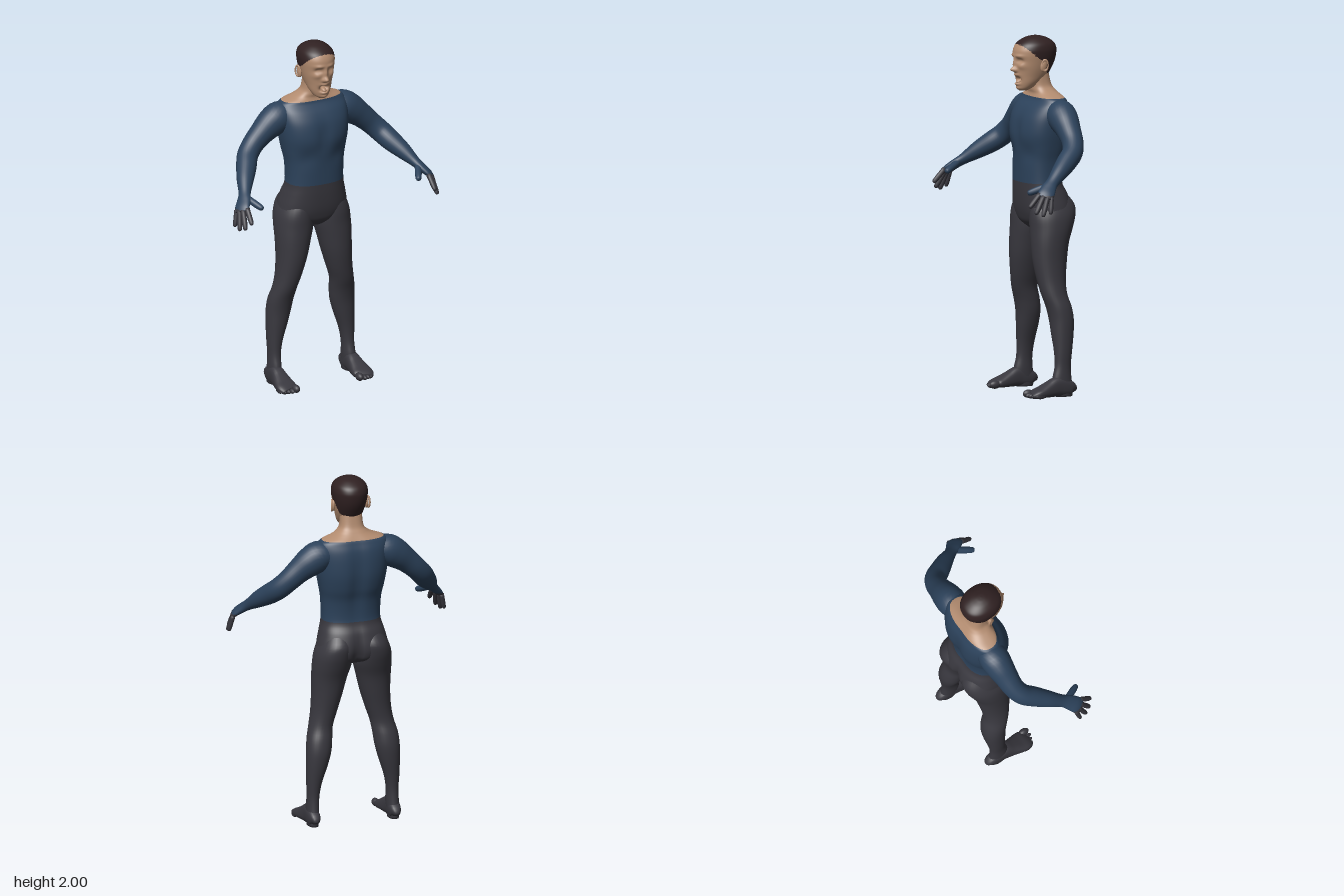
import * as THREE from 'three';

const flat = (name, color) => Object.assign(new THREE.MeshStandardMaterial({ color }), { name });
const gauss = (d, s) => Math.exp(-(d * d) / (s * s));
const power = (v, e) => Math.sign(v) * Math.abs(v) ** e;

// Catmull-Rom through rows of numbers, n steps between neighbours
function smooth(rows, n) {
  const out = [], last = rows.length - 1;
  const at = (i) => rows[Math.min(last, Math.max(0, i))];
  for (let s = 0; s <= last * n; s++) {
    const i = Math.min(Math.floor(s / n), last - 1), t = s / n - i;
    const [a, b, c, d] = [at(i - 1), at(i), at(i + 1), at(i + 2)];
    out.push(b.map((p, k) => {
      const cubic = 3 * (p - c[k]) + d[k] - a[k];
      const square = 2 * a[k] - 5 * p + 4 * c[k] - d[k];
      return p + 0.5 * t * (c[k] - a[k] + t * (square + t * cubic));
    }));
  }
  return out;
}

// Closed skin over rings of points, capped at both ends
function skinOver(rings) {
  const m = rings[0].length, pos = [], idx = [];
  rings.forEach((r) => r.forEach((p) => pos.push(p.x, p.y, p.z)));
  for (let j = 0; j < rings.length - 1; j++) {
    for (let i = 0; i < m; i++) {
      const a = j * m + i, b = j * m + (i + 1) % m;
      idx.push(a, a + m, b, b, a + m, b + m);
    }
  }
  [0, rings.length - 1].forEach((j) => {
    const c = rings[j].reduce((s, p) => s.add(p), new THREE.Vector3()).divideScalar(m);
    const hub = pos.length / 3;
    pos.push(c.x, c.y, c.z);
    for (let i = 0; i < m; i++) {
      const a = j * m + i, b = j * m + (i + 1) % m;
      if (j) idx.push(hub, b, a); else idx.push(hub, a, b);
    }
  });
  const g = new THREE.BufferGeometry();
  g.setAttribute('position', new THREE.Float32BufferAttribute(pos, 3));
  g.setIndex(idx);
  g.computeVertexNormals();
  return g;
}

// Upright body from rows [y, centreX, halfWidth, frontZ, backZ]; sculpt may shift each point
function upright(rows, { n = 4, sides = 40, e = 0.9, sculpt = () => {} } = {}) {
  return skinOver(smooth(rows, n).map(([y, cx, rx, zf, zb]) => Array.from({ length: sides }, (_, i) => {
    const t = i / sides * Math.PI * 2, s = Math.sin(t);
    const p = new THREE.Vector3(cx + rx * power(Math.cos(t), e), y, (zf + zb) / 2 + (zf - zb) / 2 * power(s, e));
    sculpt(p, s);
    return p;
  })));
}

// Limb along a path from rows [x, y, z, wideRadius, thinRadius]; wide is the broad direction
function limb(rows, wide, n = 4, sides = 20, e = 1) {
  const r = smooth(rows, n), c = r.map((p) => new THREE.Vector3(p[0], p[1], p[2]));
  return skinOver(r.map((p, j) => {
    const dir = c[Math.min(j + 1, c.length - 1)].clone().sub(c[Math.max(j - 1, 0)]).normalize();
    const u = wide.clone().addScaledVector(dir, -wide.dot(dir)).normalize();
    const v = u.clone().cross(dir);
    return Array.from({ length: sides }, (_, i) => {
      const t = i / sides * Math.PI * 2;
      const point = c[j].clone().addScaledVector(u, p[3] * power(Math.cos(t), e));
      return point.addScaledVector(v, p[4] * power(Math.sin(t), e));
    });
  }));
}

// Sort triangles into material groups by the position of their centre
function paint(g, count, pick) {
  const p = g.attributes.position, id = g.index.array, bins = Array.from({ length: count }, () => []);
  for (let i = 0; i < id.length; i += 3) {
    const tri = [id[i], id[i + 1], id[i + 2]], c = new THREE.Vector3();
    tri.forEach((k) => c.add(new THREE.Vector3().fromBufferAttribute(p, k)));
    bins[pick(c.divideScalar(3))].push(...tri);
  }
  g.setIndex(bins.flat());
  let start = 0;
  bins.forEach((b, k) => { g.addGroup(start, b.length, k); start += b.length; });
  return g;
}

function mirrored(g) {
  const m = g.clone().scale(-1, 1, 1), id = m.index.array;
  for (let i = 0; i < id.length; i += 3) [id[i], id[i + 1]] = [id[i + 1], id[i]];
  return m;
}

export function createModel() {
  const model = new THREE.Group();
  const skin = flat('skin', 0xb38c70), hair = flat('hair', 0x302122);
  const shirt = flat('blue shirt', 0x2c425b), dark = flat('dark trousers', 0x39383f);
  const add = (name, g, mat) => {
    const mesh = new THREE.Mesh(g, mat);
    mesh.name = name;
    model.add(mesh);
  };
  const pair = (name, g, mat) => { add(name + 'Left', g, mat); add(name + 'Right', mirrored(g), mat); };
  const ball = (x, y, z, a, b, c, tilt = 0) =>
    new THREE.SphereGeometry(1, 18, 14).scale(a, b, c).rotateX(tilt).translate(x, y, z);

  // Torso and neck, with chest, spine and seat modelling
  const torso = upright([
    [0.925, 0, 0.04, -0.05, -0.16], [0.96, 0, 0.14, -0.015, -0.235], [1.0, 0, 0.2, 0.0, -0.26],
    [1.05, 0, 0.199, 0.01, -0.264], [1.12, 0, 0.182, 0.016, -0.245], [1.185, 0, 0.167, 0.018, -0.216],
    [1.3, 0, 0.17, 0.02, -0.222], [1.38, 0, 0.184, 0.027, -0.245], [1.46, 0, 0.198, 0.034, -0.258],
    [1.54, 0, 0.206, 0.02, -0.256], [1.6, 0, 0.207, -0.01, -0.246], [1.64, 0, 0.2, -0.045, -0.23],
    [1.66, 0, 0.178, -0.055, -0.22], [1.68, 0, 0.12, -0.06, -0.205], [1.7, 0, 0.085, -0.056, -0.19],
    [1.73, 0, 0.066, -0.054, -0.172], [1.8, 0, 0.062, -0.05, -0.155],
  ], {
    n: 5, sides: 64, e: 0.82,
    sculpt(p, s) {
      const seat = 0.03 * gauss(p.x, 0.025) * gauss(p.y - 1.0, 0.09), spine = 0.016 * gauss(p.x, 0.04) * gauss(p.y - 1.42, 0.2);
      const sternum = 0.012 * gauss(p.x, 0.035) * gauss(p.y - 1.47, 0.08);
      const ribs = 0.01 * gauss(p.y - 1.35, 0.05) * gauss(Math.abs(p.x) - 0.1, 0.06);
      p.z -= s * (s < 0 ? seat + spine : sternum + ribs);
    },
  });
  add('torso', paint(torso, 3, (c) => (c.y > 1.66 ? 2 : c.y < 1.186 ? 0 : 1)), [dark, shirt, skin]);

  // Legs
  pair('leg', upright([
    [0.0, 0.235, 0.03, -0.09, -0.192], [0.05, 0.235, 0.035, -0.08, -0.195], [0.1, 0.233, 0.035, -0.075, -0.188],
    [0.17, 0.231, 0.034, -0.09, -0.184], [0.25, 0.226, 0.043, -0.09, -0.193], [0.35, 0.211, 0.06, -0.082, -0.208],
    [0.43, 0.2, 0.07, -0.075, -0.213], [0.5, 0.192, 0.071, -0.06, -0.203], [0.57, 0.178, 0.067, -0.037, -0.184],
    [0.65, 0.158, 0.073, -0.02, -0.186], [0.75, 0.14, 0.085, -0.006, -0.2], [0.85, 0.128, 0.098, -0.002, -0.217],
    [0.93, 0.117, 0.108, -0.002, -0.246], [1.0, 0.111, 0.105, -0.001, -0.267], [1.06, 0.1, 0.092, -0.01, -0.268],
    [1.12, 0.09, 0.07, -0.04, -0.225],
  ], { sides: 32, e: 0.95 }), dark);

  // Feet: rows of [z, centreX, halfWidth, height]
  const foot = [
    [-0.2, 0.235, 0.012, 0.045], [-0.188, 0.235, 0.03, 0.075], [-0.15, 0.236, 0.036, 0.1], [-0.1, 0.237, 0.039, 0.112],
    [-0.05, 0.238, 0.047, 0.088], [0.0, 0.24, 0.057, 0.063], [0.035, 0.24, 0.059, 0.048], [0.06, 0.234, 0.048, 0.03],
  ].map(([z, x, w, h]) => [x, h / 2, z, w, h / 2]);
  pair('foot', limb(foot, new THREE.Vector3(1, 0, 0), 4, 28, 0.75), dark);
  [[0.2, 0.062, 0.02], [0.228, 0.06, 0.013], [0.25, 0.053, 0.0125], [0.27, 0.043, 0.012], [0.287, 0.029, 0.012]]
    .forEach(([x, z, r]) => pair('toe', ball(x, r * 1.15, z, r, r * 1.15, 0.033), dark));

  // Arms running into the palms
  const across = new THREE.Vector3(0.53, -0.27, -0.8);
  const arm = limb([
    [0.1, 1.585, -0.14, 0.06, 0.055], [0.19, 1.572, -0.142, 0.083, 0.086], [0.25, 1.54, -0.14, 0.08, 0.084],
    [0.31, 1.495, -0.135, 0.068, 0.07], [0.37, 1.44, -0.127, 0.06, 0.062], [0.418, 1.39, -0.1, 0.058, 0.061],
    [0.455, 1.345, -0.045, 0.056, 0.058], [0.497, 1.298, 0.02, 0.047, 0.047], [0.535, 1.25, 0.085, 0.035, 0.03],
    [0.56, 1.222, 0.122, 0.042, 0.024], [0.585, 1.195, 0.15, 0.046, 0.02], [0.598, 1.175, 0.168, 0.04, 0.014],
  ], across, 5, 28);
  pair('arm', paint(arm, 2, (c) => (c.y < 1.188 ? 1 : 0)), [shirt, dark]);

  // Fingers and thumbs
  const digit = (a, b, r) => limb([[0, 1], [0.35, 0.95], [0.65, 0.95], [0.9, 0.8], [0.98, 0.5], [1, 0.08]]
    .map(([t, s]) => [...a.map((v, k) => v + (b[k] - v) * t), r * s, r * s]), across, 2, 12);
  [[[0.572, 1.196, 0.183], [0.578, 1.122, 0.252], 0.015], [[0.59, 1.186, 0.17], [0.605, 1.087, 0.226], 0.0155],
    [[0.603, 1.178, 0.152], [0.622, 1.074, 0.19], 0.015], [[0.61, 1.176, 0.13], [0.63, 1.086, 0.146], 0.0135]]
    .forEach(([a, b, r]) => pair('finger', digit(a, b, r), dark));
  pair('thumb', digit([0.545, 1.238, 0.108], [0.49, 1.19, 0.218], 0.02), shirt);

  // Head: face bumps are [x, y, spreadX, spreadY, depth], mirrored where x is not 0
  const bumps = [
    [0, 1.815, 0.013, 0.014, 0.03], [0, 1.85, 0.011, 0.03, 0.014], [0.014, 1.81, 0.009, 0.009, 0.01],
    [0.037, 1.866, 0.02, 0.013, -0.016], [0.037, 1.864, 0.012, 0.006, 0.005], [0.035, 1.892, 0.026, 0.009, 0.007],
    [0.05, 1.835, 0.02, 0.016, 0.007], [0, 1.758, 0.021, 0.014, -0.05], [0, 1.784, 0.022, 0.007, 0.014],
    [0, 1.734, 0.02, 0.008, 0.018], [0, 1.71, 0.02, 0.012, 0.01],
  ];
  const face = (p) => bumps.reduce((d, [x, y, sx, sy, h]) => d + h * gauss(Math.abs(p.x) - x, sx) * gauss(p.y - y, sy), 0);
  const head = upright([
    [1.695, 0, 0.02, 0.01, -0.03], [1.71, 0, 0.042, 0.022, -0.06], [1.74, 0, 0.06, 0.028, -0.1],
    [1.78, 0, 0.073, 0.034, -0.152], [1.82, 0, 0.084, 0.038, -0.178], [1.86, 0, 0.092, 0.041, -0.196],
    [1.9, 0, 0.098, 0.044, -0.205], [1.93, 0, 0.098, 0.039, -0.205], [1.96, 0, 0.087, 0.02, -0.19],
    [1.985, 0, 0.057, -0.018, -0.152], [1.997, 0, 0.026, -0.055, -0.114], [2.0, 0, 0.004, -0.08, -0.088],
  ], { n: 7, sides: 96, e: 0.93, sculpt(p, s) { if (s > 0) p.z += face(p) * Math.min(1, s * 2); } });
  // Hairline height as a function of depth
  const line = [[-0.14, 1.778], [-0.12, 1.8], [-0.1, 1.86], [-0.06, 1.88], [-0.02, 1.915], [0.025, 1.955]];
  const hairline = (z) => {
    const k = line.findIndex((q) => q[0] > z);
    if (k < 1) return k ? line[5][1] : line[0][1];
    const [a, b] = [line[k - 1], line[k]];
    return a[1] + (b[1] - a[1]) * (z - a[0]) / (b[0] - a[0]);
  };
  add('head', paint(head, 2, (c) => (c.y > hairline(c.z) ? 1 : 0)), [skin, hair]);
  add('tongue', ball(0, 1.747, 0.012, 0.014, 0.012, 0.024, 0.3), skin);
  pair('ear', ball(0.098, 1.838, -0.088, 0.011, 0.034, 0.02, -0.2), skin);
  const rim = new THREE.TorusGeometry(0.02, 0.005, 8, 20).scale(0.85, 1.5, 1).rotateY(Math.PI / 2 - 0.35);
  pair('earRim', rim.translate(0.106, 1.842, -0.092), skin);
  return model;
}
